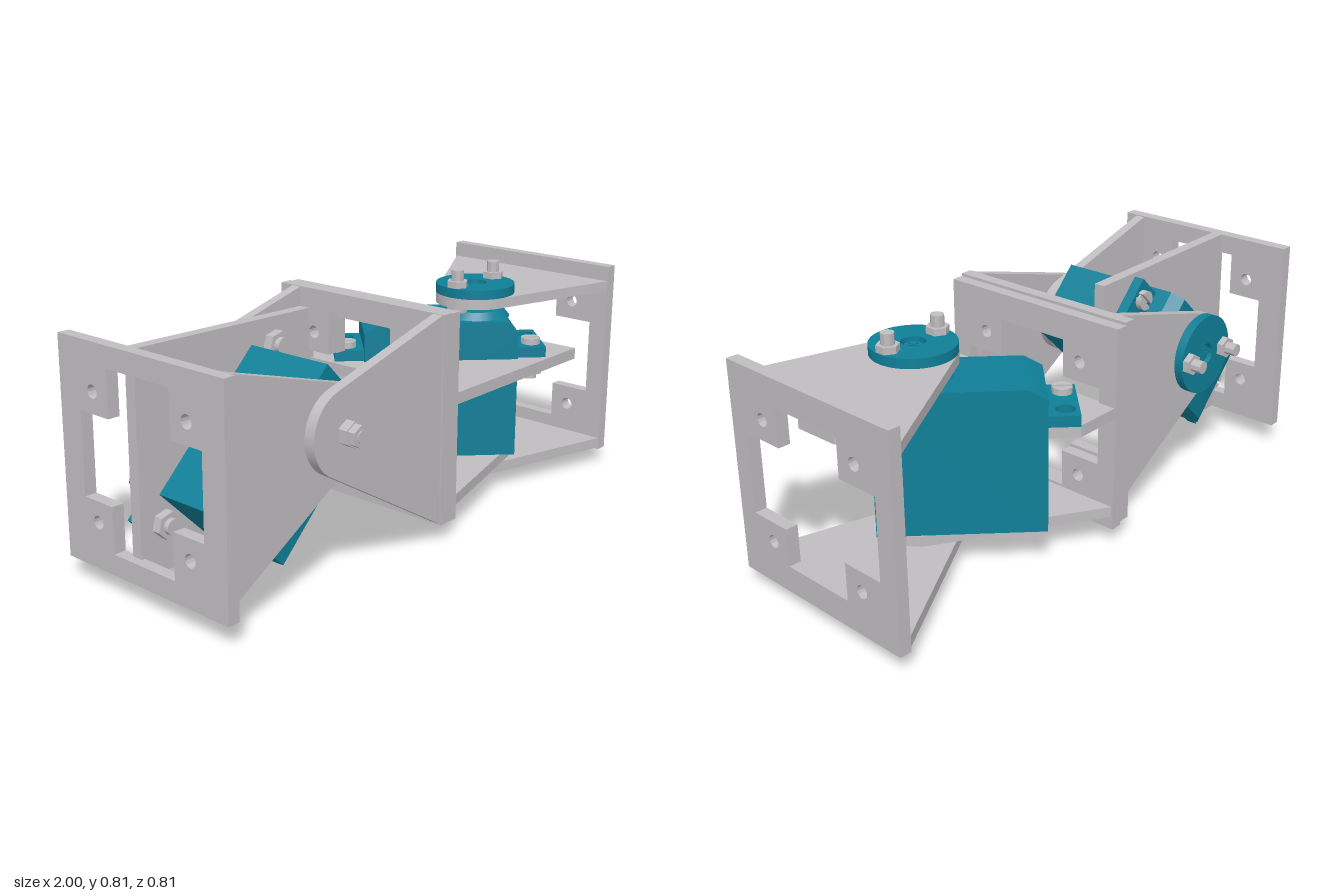
import * as THREE from 'three';
import { toCreasedNormals } from 'three/addons/utils/BufferGeometryUtils.js';

const grey = new THREE.MeshStandardMaterial({ color: 0xc0bdc0 });
grey.name = 'bracket grey';
const teal = new THREE.MeshStandardMaterial({ color: 0x0f7f98 });
teal.name = 'servo teal';

const MID = 0.413;      // height of the plate centre
const HALF = 0.357;     // half the plate size
const ZC = -0.088;      // plate centre relative to the pivot axis
const TILT = -0.022;    // joint angle between base and yoke

function add(group, name, geometry, material, x = 0, y = 0, z = 0) {
  const mesh = new THREE.Mesh(geometry, material);
  mesh.name = name;
  mesh.position.set(x, y, z);
  group.add(mesh);
  return mesh;
}

const polygon = (pts) => new THREE.Shape(pts.map(([x, y]) => new THREE.Vector2(x, y)));

function hole(shape, x, y, r) {
  const path = new THREE.Path();
  path.absarc(x, y, r, 0, Math.PI * 2, true);
  shape.holes.push(path);
}

function extrude(shape, depth) {
  const g = new THREE.ExtrudeGeometry(shape, { depth, bevelEnabled: false, curveSegments: 20 });
  return toCreasedNormals(g, 0.6);
}

// Horizontal slab: shape y becomes -z, bottom at y = 0
const slab = (shape, depth) => extrude(shape, depth).rotateX(-Math.PI / 2);

// Upright cylinder between two heights
function post(group, name, material, x, z, y0, y1, r, sides = 24, rTop = r) {
  const g = new THREE.CylinderGeometry(rTop, r, y1 - y0, sides);
  return add(group, name, toCreasedNormals(g, 0.6), material, x, (y0 + y1) / 2, z);
}

// Square mounting plate with a cross opening and four screw holes
function plateGeometry() {
  const shape = polygon([[-HALF, -HALF], [HALF, -HALF], [HALF, HALF], [-HALF, HALF]]);
  const a = 0.136, v = 0.265, h = 0.288;
  const cross = [[a, v], [a, a], [h, a], [h, -a], [a, -a], [a, -v],
    [-a, -v], [-a, -a], [-h, -a], [-h, a], [-a, a], [-a, v]];
  shape.holes.push(new THREE.Path(cross.map(([x, y]) => new THREE.Vector2(x, y))));
  for (const x of [-0.205, 0.205]) for (const y of [-0.205, 0.205]) hole(shape, x, y, 0.022);
  return extrude(shape, 0.042).rotateY(Math.PI / 2);
}

// Arm tapering from the plate edge to a round eye on the pivot axis
function armGeometry(side, depth) {
  const r = 0.14, x = 0.46;
  const top = -ZC + HALF, bottom = -ZC - HALF;
  const a0 = Math.atan2(top, x) + Math.acos(r / Math.hypot(x, top));
  const a1 = Math.PI * 2 + Math.atan2(bottom, x) - Math.acos(r / Math.hypot(x, bottom));
  const pts = [[x, bottom], [x, top]];
  for (let i = 0; i <= 28; i++) {
    const a = a0 + (a1 - a0) * i / 28;
    pts.push([r * Math.cos(a), r * Math.sin(a)]);
  }
  return slab(polygon(pts.map(([px, py]) => [px * side, py])), depth);
}

function makeServo() {
  const servo = new THREE.Group();
  servo.name = 'servo';
  const c = -0.135, L = 0.272, W = 0.275;
  // Case with chamfered upper ends
  const profile = polygon([[c - L, 0.14], [c + L, 0.14], [c + L, 0.595], [c + L - 0.035, 0.635],
    [c - L + 0.06, 0.635], [c - L, 0.6]]);
  add(servo, 'servoCase', extrude(profile, W), teal, 0, 0, -W / 2);
  // Mounting flange with open holes
  const flange = polygon([[c - 0.375, -0.12], [c + 0.375, -0.12], [c + 0.375, 0.12], [c - 0.375, 0.12]]);
  for (const s of [-1, 1]) hole(flange, c + s * 0.33, 0.067, 0.032);
  add(servo, 'mountingFlange', slab(flange, 0.038), teal, 0, 0.499, 0);
  // Output boss and shaft
  post(servo, 'outputBoss', teal, 0, 0, 0.63, 0.66, 0.125, 32, 0.1);
  post(servo, 'outputShaft', teal, 0, 0, 0.655, 0.72, 0.058);
  // Flange screws with slotted heads, and their nuts under the shelf
  for (const s of [-1, 1]) {
    const x = c + s * 0.33, z = 0.062;
    post(servo, 'flangeScrew', grey, x, z, 0.41, 0.545, 0.026);
    post(servo, 'flangeNut', grey, x, z, 0.428, 0.46, 0.045, 6);
    for (const k of [0, 1]) {
      const half = new THREE.Shape();
      half.absarc(0, 0, 0.034, 0.2 + k * Math.PI, Math.PI - 0.2 + k * Math.PI, false);
      add(servo, 'slottedHead', slab(half, 0.022), grey, x, 0.537, z);
    }
  }
  servo.rotation.y = -Math.PI / 4;
  return servo;
}

function makeBase() {
  const base = new THREE.Group();
  base.name = 'servoBracket';
  add(base, 'basePlate', plateGeometry(), grey, -0.49, MID, ZC);
  add(base, 'baseArm', armGeometry(-1, 0.037), grey, 0, 0.102, 0);
  // Shelf cut at 45 degrees along the servo
  const lo = -(ZC - HALF + 0.005), hi = -(ZC + HALF);
  const shelf = polygon([[-0.46, lo], [-0.28, lo], [0.257, lo - 0.537], [0.257, hi], [-0.46, hi]]);
  add(base, 'servoShelf', slab(shelf, 0.04), grey, 0, 0.459, 0);
  base.add(makeServo());
  return base;
}

function makeYoke() {
  const yoke = new THREE.Group();
  yoke.name = 'yoke';
  add(yoke, 'yokePlate', plateGeometry(), grey, 0.452, MID, ZC);
  add(yoke, 'upperArm', armGeometry(1, 0.036), grey, 0, 0.68, 0);
  add(yoke, 'lowerArm', armGeometry(1, 0.038), grey, 0, 0.063, 0);
  // Round servo horn with a recessed centre screw
  const disc = new THREE.Shape();
  disc.absarc(0, 0, 0.14, 0, Math.PI * 2, false);
  hole(disc, 0, 0, 0.04);
  add(yoke, 'servoHorn', slab(disc, 0.033), teal, 0, 0.716, 0);
  post(yoke, 'hornScrew', teal, 0, 0, 0.7, 0.738, 0.03);
  for (const turn of [0, Math.PI / 2]) {
    add(yoke, 'crossRecess', new THREE.BoxGeometry(0.04, 0.006, 0.008), teal, 0, 0.739, 0)
      .rotation.y = turn;
  }
  // Two bolts through horn and arm
  for (const x of [-0.103, 0.103]) {
    post(yoke, 'hornBolt', grey, x, 0, 0.66, 0.81, 0.022);
    post(yoke, 'hornNut', grey, x, 0, 0.748, 0.772, 0.038, 6);
    post(yoke, 'hornBoltHead', grey, x, 0, 0.66, 0.682, 0.036);
  }
  // Pivot bolt through the two lower arms
  post(yoke, 'pivotNut', grey, 0, 0, 0.03, 0.064, 0.042, 6);
  post(yoke, 'pivotLockNut', grey, 0, 0, 0.004, 0.031, 0.037, 6);
  post(yoke, 'pivotBolt', grey, 0, 0, 0, 0.14, 0.02);
  yoke.rotation.y = TILT;
  return yoke;
}

function makeJoint(name) {
  const joint = new THREE.Group();
  joint.name = name;
  joint.add(makeBase(), makeYoke());
  return joint;
}

export function createModel() {
  const model = new THREE.Group();
  model.name = 'servoJointChain';
  // Joint turning about the vertical axis
  const pan = makeJoint('panJoint');
  pan.position.set(0.492, 0, 0.068);
  // Same joint laid over, turning about the front-to-back axis
  const tilt = makeJoint('tiltJoint');
  tilt.rotation.set(-Math.PI / 2, 0, TILT, 'ZYX');
  tilt.position.set(-0.5, 0.507, MID - 0.012);
  model.add(pan, tilt);
  return model;
}
